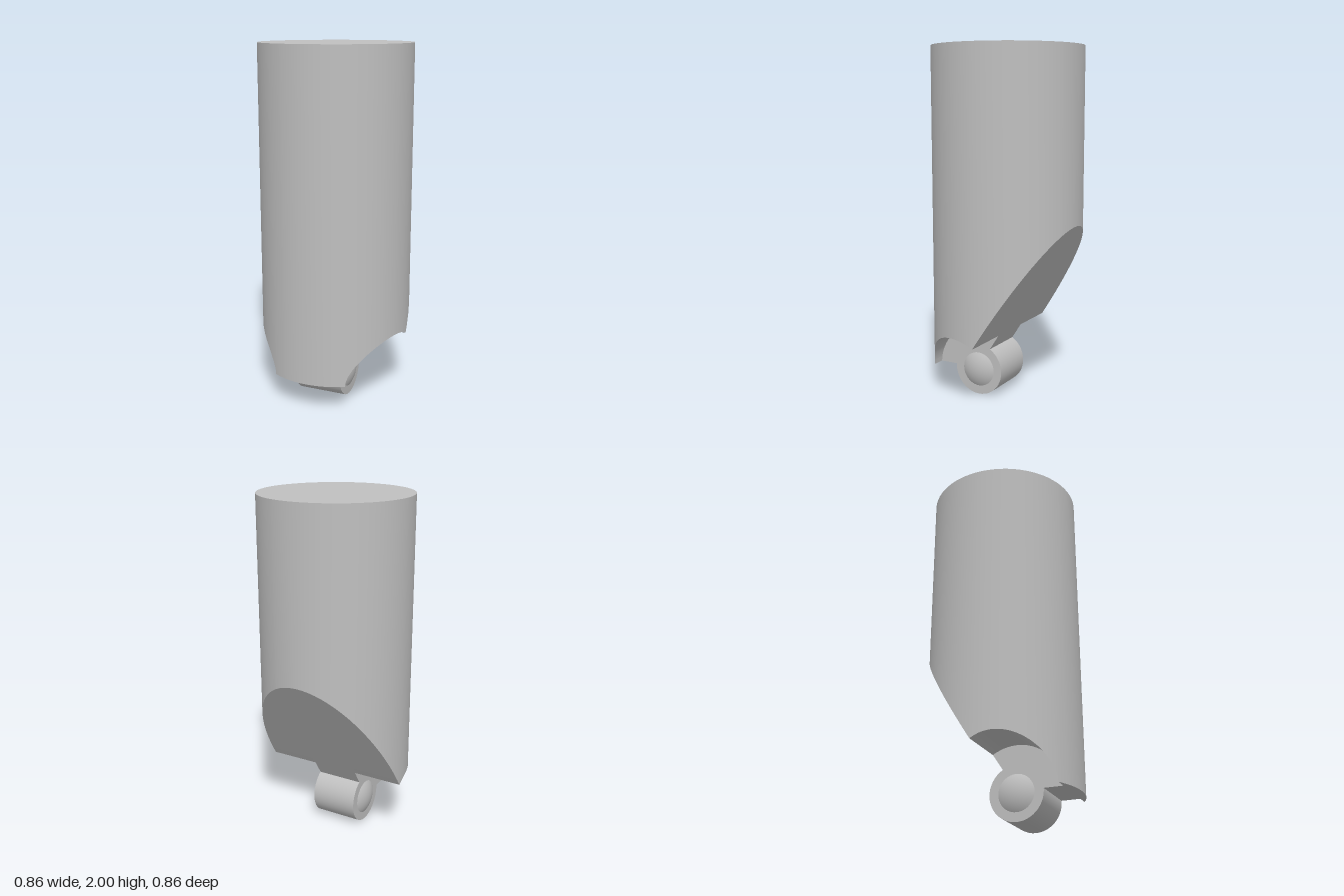
import * as THREE from 'three';
import { toCreasedNormals } from 'three/addons/utils/BufferGeometryUtils.js';

const R = 0.43, TOP = 2, BOTTOM = 0.16;       // main cylinder
const HALF = 0.137;                           // half width of the neck and knuckle
const PIVOT = { y: 0.15, z: 0.12 };           // knuckle axis
const KNUCKLE = 0.15, RELIEF = 0.255;         // knuckle radius, side cut radius

// Underside heights: sloped cut at the back, round relief beside the neck
const neckHeight = (z) => Math.max(BOTTOM, 0.365 - 1.55 * (z + 0.01));
const sideHeight = (z) => {
  const d = RELIEF ** 2 - (z - PIVOT.z) ** 2;
  return Math.max(neckHeight(z), d > 0 ? PIVOT.y + Math.sqrt(d) : 0);
};

// Slices across z, with every edge of the cuts included
function sliceDepths() {
  const e = Math.sqrt(R * R - HALF * HALF);
  const depths = [-R, R, -e, e, -0.012, 0.1223, 0.3748];
  const add = (z) => {
    if (depths.every((d) => Math.abs(d - z) > 0.001)) depths.push(z);
  };
  for (let i = 1; i < 36; i++) add(R * Math.cos((i * Math.PI) / 36));
  for (let i = 1; i < 24; i++) add(PIVOT.z + RELIEF * Math.cos((i * 2.1) / 24));
  return depths.sort((a, b) => a - b);
}

function bodyGeometry() {
  const pos = [];
  const tri = (a, b, c) => {
    const [p, q, r] = [a, b, c].map((v) => new THREE.Vector3(...v));
    if (q.clone().sub(p).cross(r.clone().sub(p)).length() < 1e-9) return;
    pos.push(...a, ...b, ...c);
    for (const v of [a, c, b]) pos.push(-v[0], v[1], v[2]);   // mirrored half
  };
  const quad = (a, b, c, d) => { tri(a, b, c); tri(a, c, d); };
  const width = (z) => Math.sqrt(Math.max(0, R * R - z * z));

  const zs = sliceDepths();
  for (let i = 0; i < zs.length - 1; i++) {
    const z0 = zs[i], z1 = zs[i + 1];
    const w0 = width(z0), w1 = width(z1);
    const c0 = Math.min(w0, HALF), c1 = Math.min(w1, HALF);
    const n0 = neckHeight(z0), n1 = neckHeight(z1);
    const s0 = sideHeight(z0), s1 = sideHeight(z1);
    const wide = width((z0 + z1) / 2) > HALF;
    const o0 = wide ? s0 : n0, o1 = wide ? s1 : n1;
    // top face
    quad([0, TOP, z0], [0, TOP, z1], [w1, TOP, z1], [w0, TOP, z0]);
    // outer wall
    quad([w0, o0, z0], [w0, TOP, z0], [w1, TOP, z1], [w1, o1, z1]);
    // underside of the neck
    quad([0, n0, z0], [c0, n0, z0], [c1, n1, z1], [0, n1, z1]);
    if (wide) {
      // underside of the relief and the wall beside the neck
      quad([c0, s0, z0], [w0, s0, z0], [w1, s1, z1], [c1, s1, z1]);
      quad([HALF, n0, z0], [HALF, s0, z0], [HALF, s1, z1], [HALF, n1, z1]);
    }
  }
  const geo = new THREE.BufferGeometry();
  geo.setAttribute('position', new THREE.Float32BufferAttribute(pos, 3));
  return toCreasedNormals(geo, 0.4);
}

export function createModel() {
  const group = new THREE.Group();
  group.name = 'hingedPlunger';
  const grey = new THREE.MeshStandardMaterial({ color: 0xbfbfbf });
  grey.name = 'grey';
  const add = (name, geo) => {
    const mesh = new THREE.Mesh(geo, grey);
    mesh.name = name;
    group.add(mesh);
    return mesh;
  };

  add('body', bodyGeometry());

  // Knuckle lying across the foot of the body
  const knuckle = add('knuckle', new THREE.CylinderGeometry(KNUCKLE, KNUCKLE, HALF * 2, 48));
  knuckle.rotation.z = Math.PI / 2;
  knuckle.position.set(0, PIVOT.y, PIVOT.z);

  // Shallow domes on both ends of the knuckle
  const domeRadius = 0.1, rise = 0.028;
  const sphere = (domeRadius ** 2 + rise ** 2) / (2 * rise);
  for (const side of [1, -1]) {
    const geo = new THREE.SphereGeometry(sphere, 40, 10, 0, Math.PI * 2, 0, Math.asin(domeRadius / sphere));
    geo.translate(0, rise - sphere, 0);
    const dome = add(side > 0 ? 'leftDome' : 'rightDome', geo);
    dome.rotation.z = (-side * Math.PI) / 2;
    dome.position.set(side * HALF, PIVOT.y, PIVOT.z);
  }
  return group;
}
